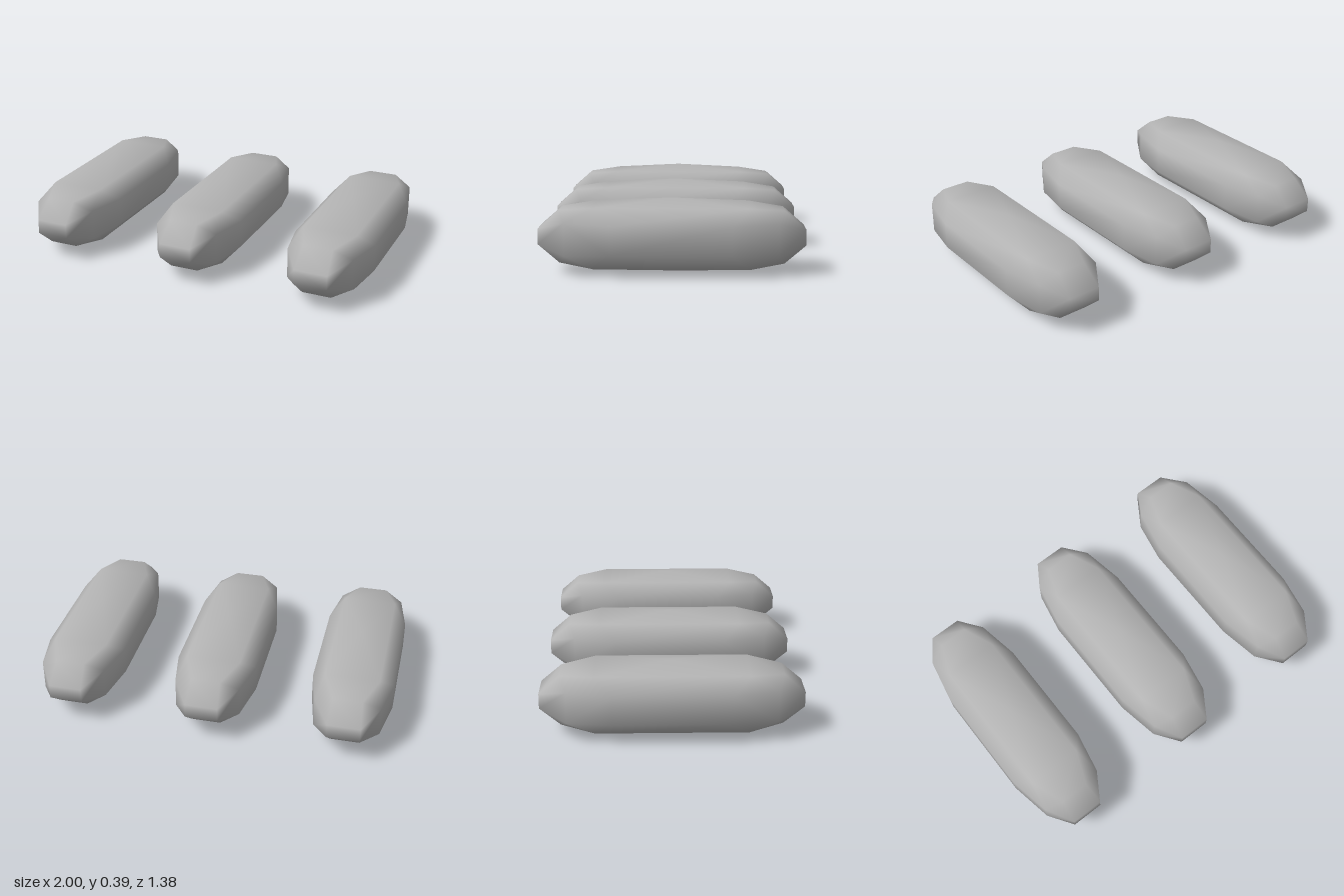
import * as THREE from 'three';
import { ConvexGeometry } from 'three/addons/geometries/ConvexGeometry.js';
import { mergeVertices } from 'three/addons/utils/BufferGeometryUtils.js';

// Corner points of one octant of a pod, mirrored across all three planes
const OCTANT = [
  [0, 0.193, 0],
  [0.15, 0.157, 0.4],
  [0.226, 0.076, 0.31],
  [0.18, 0.085, 0.545],
  [0.08, 0.137, 0.58],
  [0.09, 0.04, 0.69],
];

function podGeometry() {
  const points = new Map();
  for (const [x, y, z] of OCTANT) {
    for (const sx of [1, -1]) for (const sy of [1, -1]) for (const sz of [1, -1]) {
      const p = new THREE.Vector3(x * sx || 0, y * sy, z * sz || 0);
      points.set(p.toArray().join(), p);
    }
  }
  // Weld the hull so the faceted form gets smooth normals
  let geometry = new ConvexGeometry([...points.values()]);
  geometry.deleteAttribute('normal');
  geometry = mergeVertices(geometry, 1e-4);
  geometry.computeVertexNormals();
  return geometry;
}

export function createModel() {
  const group = new THREE.Group();
  group.name = 'pods';
  const grey = new THREE.MeshStandardMaterial({ color: 0xb4b4b4 });
  grey.name = 'grey';
  const geometry = podGeometry();

  // Three identical pods side by side
  [['rightPod', -0.774], ['middlePod', 0], ['leftPod', 0.774]].forEach(([name, x]) => {
    const pod = new THREE.Mesh(geometry, grey);
    pod.name = name;
    pod.position.set(x, 0.193, 0);
    group.add(pod);
  });
  return group;
}
